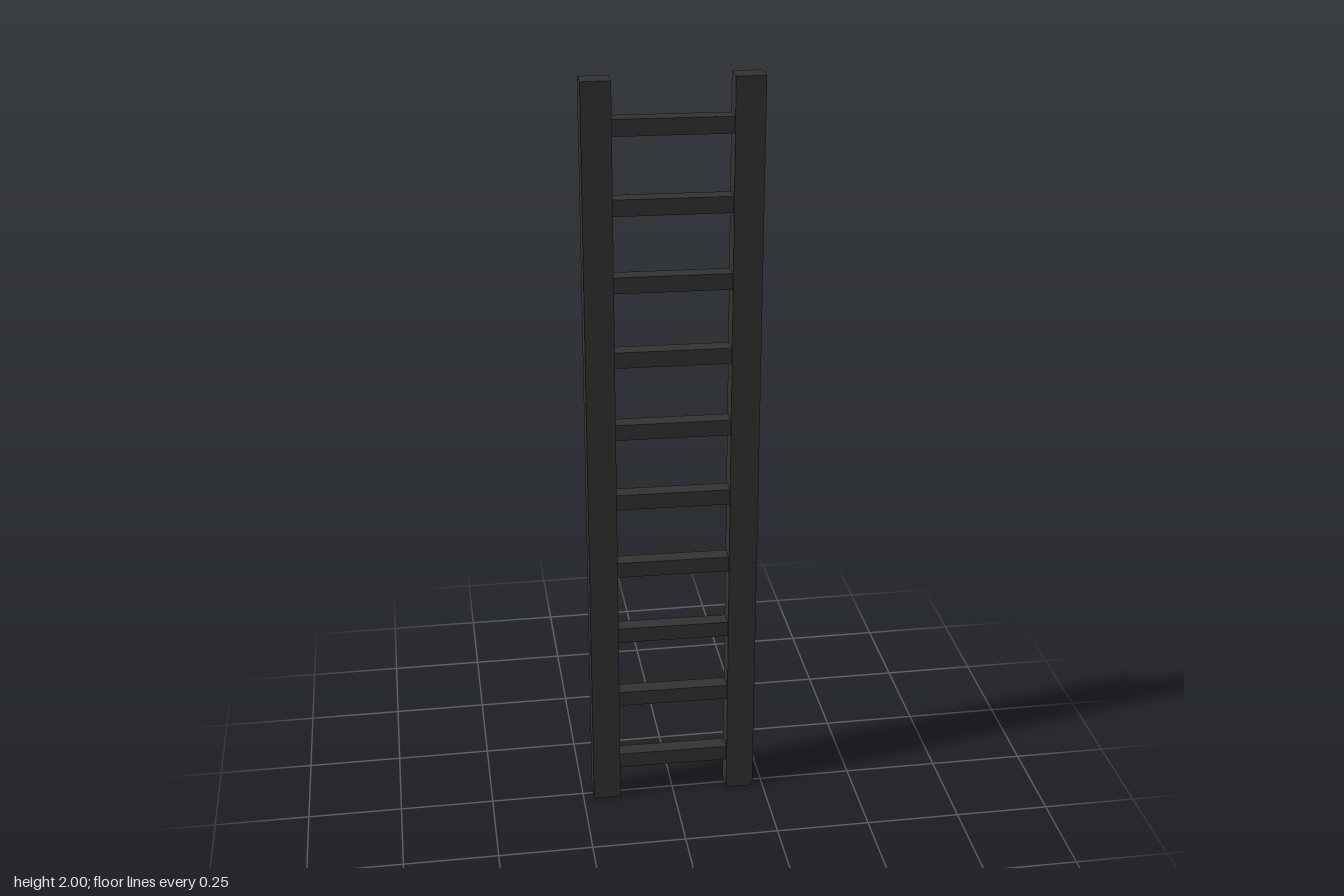
import * as THREE from 'three';

export function createModel() {
  const ladder = new THREE.Group();
  ladder.name = 'ladder';
  const material = new THREE.MeshStandardMaterial({ color: 0x333333, flatShading: true });

  // Two upright rails
  const railGeometry = new THREE.BoxGeometry(0.074, 2, 0.058);
  for (const side of [-1, 1]) {
    const rail = new THREE.Mesh(railGeometry, material);
    rail.name = side > 0 ? 'leftRail' : 'rightRail';
    rail.position.set(side * 0.185, 1, 0);
    ladder.add(rail);
  }

  // Ten evenly spaced square rungs, very slightly tilted, set into the rails
  const rungCount = 10;
  const rungGeometry = new THREE.BoxGeometry(0.302, 0.042, 0.042);
  for (let i = 0; i < rungCount; i++) {
    const rung = new THREE.Mesh(rungGeometry, material);
    rung.name = `rung${i + 1}`;
    rung.position.set(0, 0.11 + i * 0.197, -0.001);
    rung.rotation.z = -0.012;
    ladder.add(rung);
  }

  return ladder;
}
